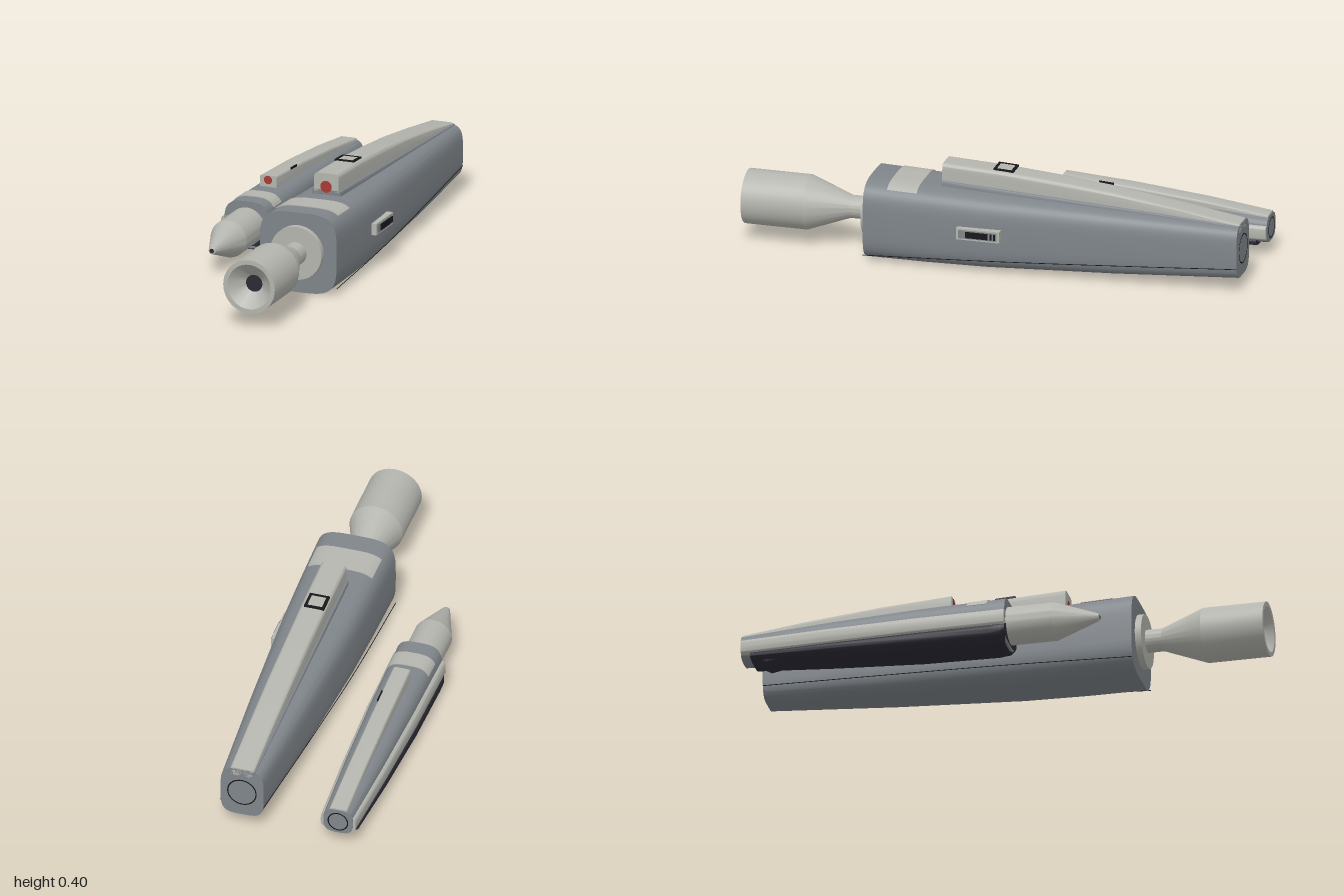
import * as THREE from 'three';
import { toCreasedNormals } from 'three/addons/utils/BufferGeometryUtils.js';

const mat = (name, color) => Object.assign(new THREE.MeshStandardMaterial({ color }), { name });

// Closed loft of superellipse rings, front to back. Section: [z, halfWidth, yBottom, yTop].
function loft(sections, n, t0 = 0, t1 = Math.PI * 2) {
  const seg = 56, full = t1 - t0 > 6, pos = [], idx = [];
  const count = full ? seg : seg + 1;
  const soft = v => Math.sign(v) * Math.pow(Math.abs(v), 2 / n);
  for (const [z, w, y0, y1] of sections)
    for (let j = 0; j < count; j++) {
      const t = t0 + (t1 - t0) * j / seg;
      pos.push(w * soft(Math.cos(t)), (y0 + y1) / 2 + (y1 - y0) / 2 * soft(Math.sin(t)), z);
    }
  for (let i = 0; i < sections.length - 1; i++)
    for (let j = 0; j < count; j++) {
      const k = (j + 1) % count, a = i * count + j, b = i * count + k;
      idx.push(a, a + count, b, b, a + count, b + count);
    }
  for (const i of [0, sections.length - 1]) {
    let y = 0;
    for (let j = 0; j < count; j++) y += pos[(i * count + j) * 3 + 1] / count;
    const c = pos.length / 3;
    pos.push(0, y, sections[i][0]);
    for (let j = 0; j < count; j++) {
      const a = i * count + j, b = i * count + (j + 1) % count;
      idx.push(c, ...(i === 0 ? [a, b] : [b, a]));
    }
  }
  const g = new THREE.BufferGeometry();
  g.setAttribute('position', new THREE.Float32BufferAttribute(pos, 3));
  g.setIndex(idx);
  return toCreasedNormals(g, 0.6);
}

// Turned part along z. Points: [radius, z].
function turned(points) {
  const g = new THREE.LatheGeometry(points.map(p => new THREE.Vector2(...p)), 48);
  return toCreasedNormals(g.rotateX(Math.PI / 2), 0.3);
}

export function createModel() {
  const grey = mat('bodyGrey', 0x7f858a), light = mat('lightGrey', 0xb5b5af);
  const dark = mat('darkGrip', 0x2b2a34), red = mat('signalRed', 0xa83a34);
  const black = mat('outlineBlack', 0x17171b);

  const add = (parent, name, geo, material, x = 0, y = 0, z = 0) => {
    const m = new THREE.Mesh(geo, material);
    m.name = name;
    m.position.set(x, y, z);
    parent.add(m);
    return m;
  };
  const box = (parent, name, material, size, at) =>
    add(parent, name, new THREE.BoxGeometry(...size), material, ...at);
  const disc = r => new THREE.CircleGeometry(r, 40);

  // Round plate with a dark outline on a rear face
  const endCap = (parent, r, y) => {
    add(parent, 'rearRing', new THREE.RingGeometry(r - 0.005, r, 40), black, 0, y, -1.002).rotation.y = Math.PI;
    add(parent, 'rearPlate', disc(r - 0.005), grey, 0, y, -1.001).rotation.y = Math.PI;
  };
  const group = (name, x) => {
    const g = new THREE.Group();
    g.name = name;
    g.position.x = x;
    return g;
  };

  // ---- Large device ----
  const large = group('largeDevice', 0.16);
  add(large, 'largeBody', loft([
    [0.49, 0.161, 0.002, 0.325], [0.25, 0.157, 0.002, 0.317], [0, 0.15, 0.006, 0.307],
    [-0.5, 0.122, 0.027, 0.289], [-1, 0.0875, 0.055, 0.27]], 4), grey);
  add(large, 'largeBand', loft([
    [0.4, 0.162, 0.002, 0.325], [0.28, 0.16, 0.002, 0.321]], 4, 0.84, Math.PI - 0.84), light);
  add(large, 'spineFlange', loft([
    [0.2, 0.06, 0.29, 0.335], [-0.05, 0.06, 0.28, 0.323],
    [-0.5, 0.058, 0.265, 0.3], [-1, 0.055, 0.25, 0.271]], 8), grey);
  add(large, 'largeSpine', loft([
    [0.2, 0.051, 0.29, 0.402], [-0.05, 0.051, 0.28, 0.391], [-0.28, 0.05, 0.27, 0.373],
    [-0.5, 0.05, 0.26, 0.35], [-0.75, 0.049, 0.25, 0.315], [-1, 0.048, 0.24, 0.275]], 8), light);
  add(large, 'largeLamp', disc(0.024), red, 0, 0.348, 0.202);

  // Framed button on the spine
  const button = new THREE.Group();
  button.name = 'spineButton';
  button.position.set(-0.006, 0.392, -0.042);
  button.rotation.x = -0.05;
  large.add(button);
  box(button, 'buttonPlate', light, [0.06, 0.006, 0.06], [0, 0, 0]);
  for (const s of [-1, 1]) {
    box(button, 'buttonFrameSide', black, [0.011, 0.008, 0.08], [s * 0.035, 0, 0]);
    box(button, 'buttonFrameEnd', black, [0.08, 0.008, 0.011], [0, 0, s * 0.035]);
  }

  // Side switch on the left flank
  box(large, 'switchHousing', light, [0.04, 0.046, 0.175], [0.153, 0.167, 0.022]);
  box(large, 'switchRecess', grey, [0.004, 0.034, 0.155], [0.173, 0.167, 0.022]);
  box(large, 'switchSlot', black, [0.006, 0.025, 0.09], [0.175, 0.167, 0.025]);
  for (const z of [-0.032, -0.046])
    box(large, 'switchTick', black, [0.006, 0.025, 0.006], [0.175, 0.167, z]);

  // Lower seams along both flanks
  for (const s of [-1, 1]) {
    const path = new THREE.CatmullRomCurve3([
      [0.49, 0.161, 0.033], [0, 0.15, 0.056], [-0.5, 0.122, 0.08], [-1, 0.0875, 0.105]
    ].map(([z, x, y]) => new THREE.Vector3(s * x, y, z)));
    add(large, 'lowerSeam', new THREE.TubeGeometry(path, 16, 0.0015, 5), black);
  }

  // Front collar, neck and hollow muzzle
  add(large, 'muzzle', turned([
    [0.107, 0.485], [0.107, 0.515], [0.045, 0.515], [0.045, 0.58], [0.108, 0.75],
    [0.108, 1], [0.09, 1], [0.033, 0.945]]), light, 0, 0.167);
  add(large, 'muzzleBore', disc(0.034), dark, 0, 0.167, 0.946);
  endCap(large, 0.06, 0.163);

  // ---- Small device ----
  const small = group('smallDevice', -0.23);
  add(small, 'smallBody', loft([
    [0.06, 0.093, 0.015, 0.205], [-0.3, 0.088, 0.025, 0.197],
    [-0.65, 0.077, 0.042, 0.182], [-1, 0.06, 0.055, 0.162]], 3.2), grey);
  add(small, 'smallBand', loft([
    [-0.01, 0.094, 0.015, 0.207], [-0.09, 0.093, 0.015, 0.205]], 3.2, 0.5, Math.PI - 0.5), light);
  add(small, 'sideRails', loft([
    [0.06, 0.107, 0.065, 0.143], [-0.3, 0.103, 0.066, 0.143],
    [-0.65, 0.09, 0.068, 0.141], [-0.998, 0.071, 0.07, 0.136]], 5), light);
  add(small, 'smallSpine', loft([
    [-0.165, 0.035, 0.16, 0.246], [-0.45, 0.035, 0.15, 0.228],
    [-0.75, 0.035, 0.14, 0.199], [-0.998, 0.035, 0.13, 0.167]], 10), light);
  add(small, 'smallLamp', disc(0.017), red, 0, 0.228, -0.163);
  box(small, 'spineMark', black, [0.005, 0.008, 0.06], [0.034, 0.234, -0.345]).rotation.x = -0.06;

  // Dark lower grip with a small foot near the rear
  add(small, 'lowerGrip', loft([
    [0.062, 0.1, 0.028, 0.092], [0.045, 0.105, 0.008, 0.096], [0, 0.105, 0.002, 0.096],
    [-0.3, 0.102, 0.008, 0.092], [-0.65, 0.089, 0.026, 0.088], [-0.96, 0.071, 0.045, 0.084]], 2.6), dark);
  add(small, 'gripFoot', loft([
    [-0.82, 0.05, 0.042, 0.075], [-0.87, 0.055, 0.03, 0.075],
    [-0.9, 0.055, 0.024, 0.075], [-0.93, 0.05, 0.042, 0.075]], 3), dark);

  // Pointed nose with a tip opening
  add(small, 'nose', turned([
    [0.075, 0.05], [0.075, 0.245], [0.015, 0.415], [0.009, 0.418], [0, 0.418]]), light, 0, 0.105);
  add(small, 'noseOpening', disc(0.009), dark, 0, 0.105, 0.42);
  endCap(small, 0.042, 0.108);

  const model = new THREE.Group();
  model.name = 'devicePair';
  model.add(large, small);
  return model;
}
